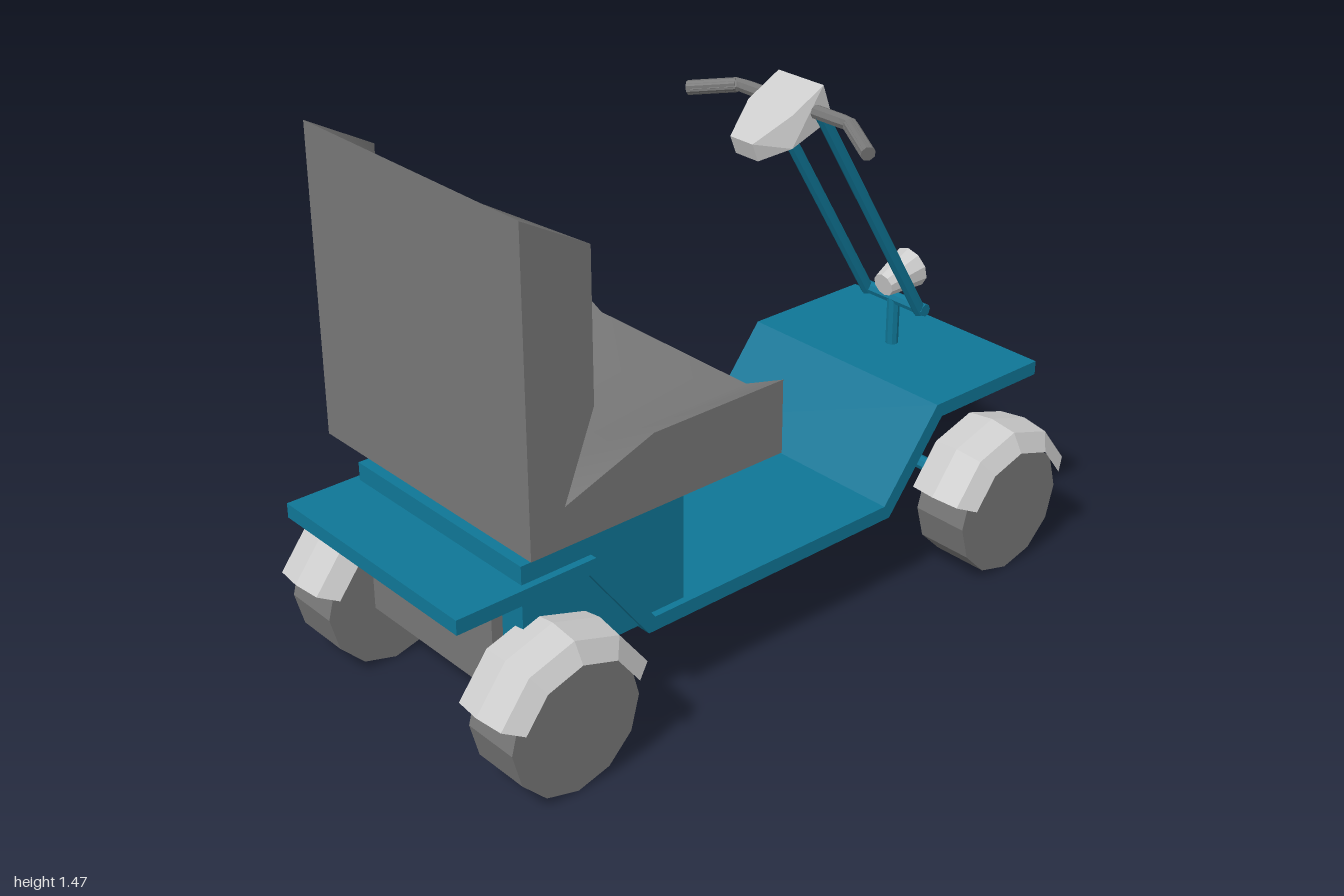
import * as THREE from 'three';
import { toCreasedNormals } from 'three/addons/utils/BufferGeometryUtils.js';

const paint = new THREE.MeshStandardMaterial({ color: 0x0f7696, flatShading: true });
const dark = new THREE.MeshStandardMaterial({ color: 0x777777, flatShading: true });
const darkSmooth = new THREE.MeshStandardMaterial({ color: 0x777777 });
const pale = new THREE.MeshStandardMaterial({ color: 0xcccccc, flatShading: true, side: THREE.DoubleSide });

export function createModel() {
  const model = new THREE.Group();
  model.name = 'scooter';

  const add = (name, geometry, material, x = 0, y = 0, z = 0) => {
    const mesh = new THREE.Mesh(geometry, material);
    mesh.name = name;
    mesh.position.set(x, y, z);
    model.add(mesh);
    return mesh;
  };

  // Side profile given as [z, y], extruded across x and centred
  const sideExtrude = (profile, width, steps = 1) => {
    const shape = new THREE.Shape(profile.map(([z, y]) => new THREE.Vector2(z, y)));
    const geometry = new THREE.ExtrudeGeometry(shape, { depth: width, steps, bevelEnabled: false });
    return geometry.translate(0, 0, -width / 2).rotateY(-Math.PI / 2);
  };

  // Moves every vertex by a rule
  const warp = (geometry, rule) => {
    const p = geometry.attributes.position;
    const v = new THREE.Vector3();
    for (let i = 0; i < p.count; i++) {
      rule(v.fromBufferAttribute(p, i));
      p.setXYZ(i, v.x, v.y, v.z);
    }
    geometry.computeVertexNormals();
    return geometry;
  };

  // Straight rod between two points
  const rod = (name, from, to, radius, material = paint, endRadius = radius, sides = 8) => {
    const a = new THREE.Vector3(...from), b = new THREE.Vector3(...to);
    const dir = b.clone().sub(a);
    const mesh = add(name, new THREE.CylinderGeometry(endRadius, radius, dir.length(), sides), material);
    mesh.position.copy(a).add(b).multiplyScalar(0.5);
    mesh.quaternion.setFromUnitVectors(new THREE.Vector3(0, 1, 0), dir.normalize());
    return mesh;
  };

  // Stepped floor plate
  add('deck', sideExtrude([
    [1, 0.53], [0.595, 0.53], [0.415, 0.29], [-0.39, 0.29], [-0.58, 0.53], [-0.98, 0.53],
    [-0.98, 0.49], [-0.6, 0.49], [-0.41, 0.25], [0.435, 0.25], [0.615, 0.49], [1, 0.49],
  ], 0.7), paint);

  // Body under the seat
  add('seatBox', new THREE.BoxGeometry(0.66, 0.31, 0.495), paint, 0, 0.425, 0.553);
  add('motorBox', new THREE.BoxGeometry(0.5, 0.3, 0.475), dark, 0, 0.355, 0.595);
  add('seatPost', new THREE.CylinderGeometry(0.04, 0.04, 0.09, 8), dark, 0, 0.605, 0.53);
  add('seatPlate', new THREE.BoxGeometry(0.24, 0.02, 0.24), dark, 0, 0.645, 0.53);

  // Bucket seat: the two inner sections are spread out and hollowed
  const seat = sideExtrude([
    [0.83, 0.64], [0.83, 1.465], [0.64, 1.36], [0.64, 0.97],
    [0.73, 0.745], [0.465, 0.84], [0.055, 0.84], [0.055, 0.64],
  ], 0.82, 3);
  warp(seat, (v) => {
    if (Math.abs(v.x) > 0.3) return;
    v.x = Math.sign(v.x) * 0.28;
    if (v.y > 0.9 && v.z < 0.7) v.z = 0.73;
    if (Math.abs(v.y - 0.84) < 0.01) v.y = 0.78;
  });
  add('seat', toCreasedNormals(seat, Math.PI / 3.2), darkSmooth);

  // Wheels and fenders, with one axle per pair
  const wheel = new THREE.CylinderGeometry(0.19, 0.19, 0.165, 12).rotateZ(Math.PI / 2);
  const fenderSection = [[0.18, -0.11], [0.232, -0.08], [0.243, 0], [0.232, 0.08], [0.18, 0.11]]
    .map(([r, x]) => new THREE.Vector2(r, x));
  const fender = new THREE.LatheGeometry(fenderSection, 4, Math.PI / 9, Math.PI * 7 / 9).rotateZ(Math.PI / 2);
  for (const [end, z] of [['rear', 0.752], ['front', -0.773]]) {
    for (const [side, s] of [['Left', 1], ['Right', -1]]) {
      add(end + side + 'Wheel', wheel, dark, s * 0.378, 0.19, z);
      add(end + side + 'Fender', fender, pale, s * 0.38, 0.19, z);
    }
    rod(end + 'Axle', [-0.32, 0.197, z], [0.32, 0.197, z], 0.02);
  }
  rod('chassisRod', [0, 0.197, 0.752], [0, 0.197, -0.773], 0.02);

  // Steering column and fork
  rod('steeringPost', [0, 0.2, -0.77], [0, 0.67, -0.77], 0.018);
  rod('forkCrossbar', [-0.118, 0.668, -0.773], [0.118, 0.668, -0.773], 0.018);
  for (const s of [1, -1]) {
    rod(s > 0 ? 'leftForkRod' : 'rightForkRod', [s * 0.1, 0.66, -0.77], [s * 0.1, 1.335, -0.36], 0.018);
  }

  // Handlebar bent back towards the rider
  const bar = new THREE.CurvePath();
  const barPoints = [[-0.33, 1.308, -0.295], [-0.2, 1.335, -0.36], [0.2, 1.335, -0.36], [0.33, 1.308, -0.295]]
    .map((p) => new THREE.Vector3(...p));
  for (let i = 0; i < 3; i++) bar.add(new THREE.LineCurve3(barPoints[i], barPoints[i + 1]));
  add('handlebar', new THREE.TubeGeometry(bar, 24, 0.019, 8), dark);
  [[0, 1], [3, 2]].forEach(([tip, inner]) => {
    const a = barPoints[tip], b = barPoints[inner];
    rod('grip', a.toArray(), a.clone().lerp(b, 0.95).toArray(), 0.02, dark);
  });

  // Control console, tapering towards the rider
  const consoleBody = sideExtrude([
    [-0.385, 1.4], [-0.42, 1.305], [-0.28, 1.255], [-0.2, 1.23], [-0.18, 1.28], [-0.28, 1.345],
  ], 0.164);
  add('controlConsole', warp(consoleBody, (v) => { if (v.z > -0.22) v.x *= 0.5; }), pale);

  // Headlight
  rod('headlight', [0, 0.72, -0.725], [0, 0.745, -0.835], 0.034, pale, 0.06, 10);

  return model;
}
